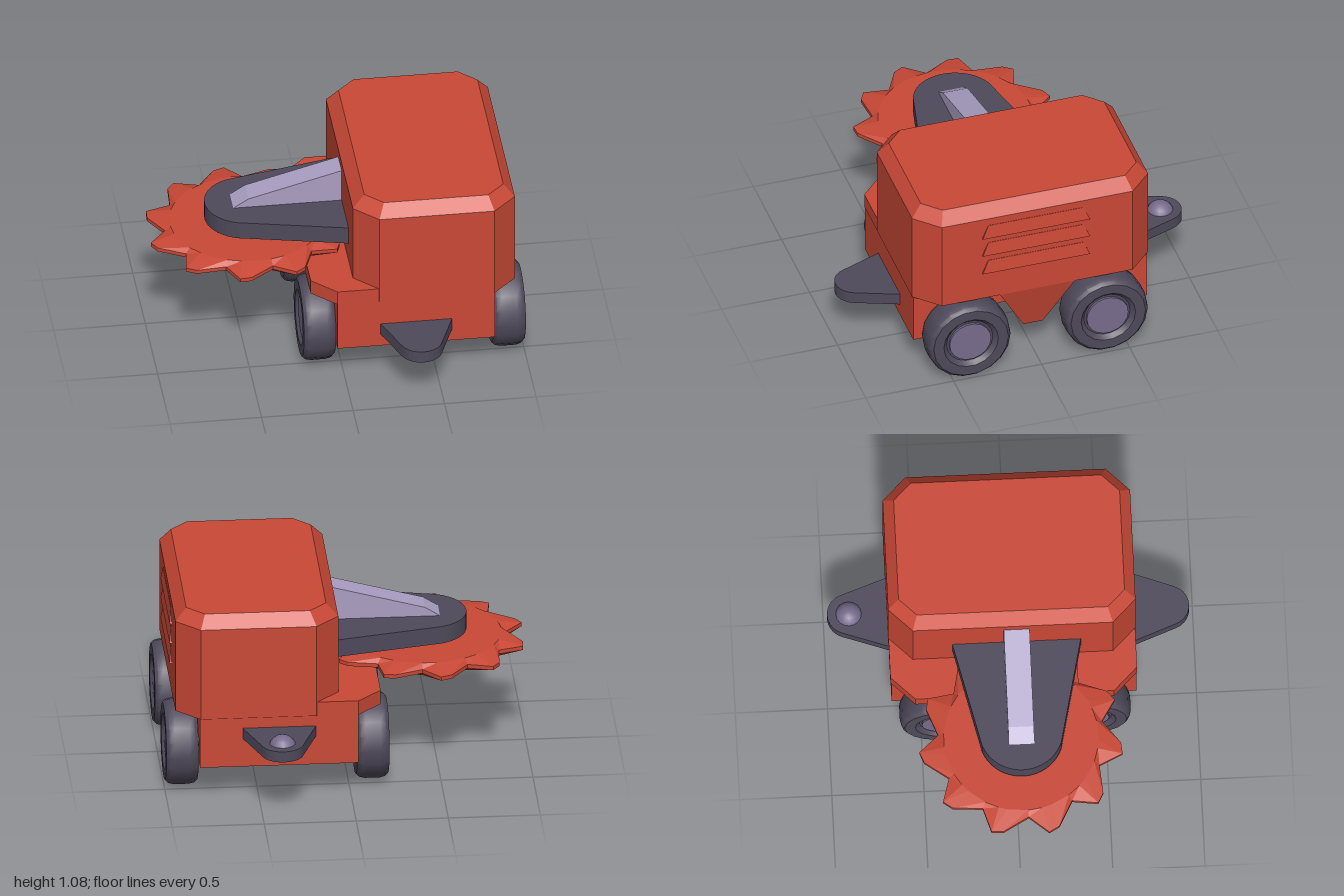
import * as THREE from 'three';
import { toCreasedNormals } from 'three/addons/utils/BufferGeometryUtils.js';

const mat = (name, color) => {
  const m = new THREE.MeshStandardMaterial({ color });
  m.name = name;
  return m;
};

// Rectangle in plan with corners cut by c, counter-clockwise from above
function plan(x0, x1, z0, z1, c, y) {
  const p = c
    ? [[x1, z1 - c], [x1, z0 + c], [x1 - c, z0], [x0 + c, z0], [x0, z0 + c], [x0, z1 - c], [x0 + c, z1], [x1 - c, z1]]
    : [[x1, z1], [x1, z0], [x0, z0], [x0, z1]];
  return p.map(([x, z]) => [x, y, z]);
}

// Closed faceted solid through a stack of rings, lowest first
function loft(rings) {
  const v = [];
  const tri = (...p) => p.forEach((q) => v.push(...q));
  const n = rings[0].length, lo = rings[0], hi = rings[rings.length - 1];
  for (let k = 0; k + 1 < rings.length; k++) {
    for (let i = 0; i < n; i++) {
      const j = (i + 1) % n, a = rings[k], b = rings[k + 1];
      tri(a[i], a[j], b[j]);
      tri(a[i], b[j], b[i]);
    }
  }
  for (let i = 1; i + 1 < n; i++) {
    tri(hi[0], hi[i], hi[i + 1]);
    tri(lo[0], lo[i + 1], lo[i]);
  }
  const g = new THREE.BufferGeometry();
  g.setAttribute('position', new THREE.Float32BufferAttribute(v, 3));
  g.computeVertexNormals();
  return g;
}

// Horizontal plate from a plan shape drawn in (x, -z)
function slab(shape, y0, y1) {
  const g = new THREE.ExtrudeGeometry(shape, { depth: y1 - y0, bevelEnabled: false, curveSegments: 10 });
  return g.rotateX(-Math.PI / 2).translate(0, y0, 0);
}

const outline = (pts) => new THREE.Shape(pts.map(([x, z]) => new THREE.Vector2(x, -z)));

export function createModel() {
  const root = new THREE.Group();
  const red = mat('red paint', 0xc94836);
  const dark = mat('dark grey', 0x4f495a);
  const violet = mat('muted violet', 0x776b8c);
  const pale = mat('pale violet', 0xaa9ec2);
  const black = mat('axle black', 0x41413c);
  const add = (name, geo, m, parent = root) => {
    const mesh = new THREE.Mesh(geo, m);
    mesh.name = name;
    parent.add(mesh);
    return mesh;
  };

  // Cab with cut corners and bevelled roof
  add('cab', loft([
    plan(0.06, 0.945, -0.663, 0.678, 0.128, 0.49),
    plan(0.06, 0.945, -0.663, 0.678, 0.128, 1.02),
    plan(0.125, 0.885, -0.605, 0.62, 0.095, 1.09),
  ]), red);

  // Side louvres
  for (const y of [0.66, 0.78, 0.895]) {
    add('louvre', loft([
      plan(0.93, 0.957, -0.29, 0.32, 0, y),
      plan(0.93, 0.947, -0.255, 0.285, 0, y + 0.08),
    ]), red);
  }

  // Chassis: deck, hollow frame, end walls and tapered side skirts
  add('deck', loft([0.488, 0.57].map((y) => plan(-0.17, 0.943, -0.661, 0.676, 0.13, y))), red);
  const frame = outline([[-0.04, -0.6], [0.82, -0.6], [0.82, 0.61], [-0.04, 0.61]]);
  frame.holes.push(outline([[0.02, -0.56], [0.02, 0.57], [0.76, 0.57], [0.76, -0.56]]));
  add('frame', slab(frame, 0.34, 0.49), red);
  add('frontWall', loft([0.2, 0.49].map((y) => plan(-0.04, 0.82, 0.58, 0.672, 0, y))), red);
  add('rearWall', loft([0.2, 0.49].map((y) => plan(-0.04, 0.82, -0.655, -0.57, 0, y))), red);
  add('leftSkirt', loft([
    plan(0.78, 0.86, -0.05, 0.06, 0, 0.195),
    plan(0.78, 0.942, -0.21, 0.22, 0, 0.49),
  ]), red);
  add('rightSkirt', loft([
    plan(-0.08, 0, -0.05, 0.06, 0, 0.195),
    plan(-0.168, 0, -0.21, 0.22, 0, 0.49),
  ]), red);

  // Wheels and axles
  const tyre = [[0.13, -0.06], [0.155, -0.0875], [0.212, -0.0875], [0.229, -0.07], [0.236, -0.04]];
  const profile = [...tyre, ...tyre.map(([r, y]) => [r, -y]).reverse()].map(([r, y]) => new THREE.Vector2(r, y));
  const tyreGeo = toCreasedNormals(new THREE.LatheGeometry(profile, 18), 0.6);
  for (const z of [0.4, -0.38]) {
    for (const x of [-0.127, 0.91]) {
      const wheel = new THREE.Group();
      wheel.name = 'wheel';
      add('tyre', tyreGeo, dark, wheel);
      add('rim', new THREE.CylinderGeometry(0.137, 0.137, 0.124, 18), dark, wheel);
      add('hub', new THREE.CylinderGeometry(0.118, 0.118, 0.15, 18), violet, wheel);
      wheel.rotation.z = Math.PI / 2;
      wheel.position.set(x, 0.242, z);
      root.add(wheel);
    }
    const axle = add('axle', new THREE.CylinderGeometry(0.032, 0.032, 0.98, 10), black);
    axle.rotation.z = Math.PI / 2;
    axle.position.set(0.392, 0.242, z);
  }

  // Tow plates, front and rear, with a tow ball behind
  const towPlate = (zBase, zTip, y0, y1) => {
    const s = Math.sign(zTip), r = 0.115, pts = [[0.19, zBase]];
    for (let i = 0; i <= 10; i++) {
      const a = Math.PI * (0.89 - 0.078 * i);
      pts.push([0.39 + r * Math.cos(a), zTip - s * r + s * r * Math.sin(a)]);
    }
    pts.push([0.59, zBase]);
    return slab(outline(pts), y0, y1);
  };
  add('frontTowPlate', towPlate(0.66, 0.978, 0.272, 0.34), dark);
  add('rearTowPlate', towPlate(-0.65, -0.985, 0.365, 0.427), dark);
  add('towBall', new THREE.SphereGeometry(0.076, 16, 12), violet).position.set(0.39, 0.398, -0.868);

  // Saw arm and its stiffening fin
  const arm = new THREE.Shape();
  arm.moveTo(0.07, 0.323);
  arm.lineTo(-0.53, 0.187);
  arm.bezierCurveTo(-0.63, 0.15, -0.68, 0.06, -0.68, -0.028);
  arm.bezierCurveTo(-0.68, -0.115, -0.63, -0.205, -0.53, -0.243);
  arm.lineTo(0.07, -0.378);
  add('sawArm', slab(arm, 0.68, 0.78), dark);
  const fin = new THREE.Shape([[-0.54, 0.775], [0.07, 0.775], [0.07, 0.973], [-0.45, 0.832]]
    .map(([x, y]) => new THREE.Vector2(x, y)));
  add('armFin', new THREE.ExtrudeGeometry(fin, { depth: 0.14, bevelEnabled: false }).translate(0, 0, -0.042), pale);

  // Saw blade: eleven hooked teeth thinning towards the rim
  const teeth = 11, rim = [];
  for (let i = 0; i < teeth; i++) {
    for (const [deg, r] of [[0, 0.556], [6.5, 0.542], [22, 0.45]]) {
      rim.push([THREE.MathUtils.degToRad(deg - 3 + (i * 360) / teeth), r]);
    }
  }
  const ring = (y, rMax) => rim.map(([a, r]) => {
    const q = Math.min(r, rMax);
    return [-0.45 + q * Math.cos(a), y, 0.028 - q * Math.sin(a)];
  });
  add('sawBlade', loft([ring(0.588, 0.42), ring(0.612, 1), ring(0.634, 1), ring(0.66, 0.42)]), red);
  add('sawSpindle', new THREE.CylinderGeometry(0.08, 0.08, 0.06, 12), dark).position.set(-0.45, 0.67, 0.028);

  return root;
}
